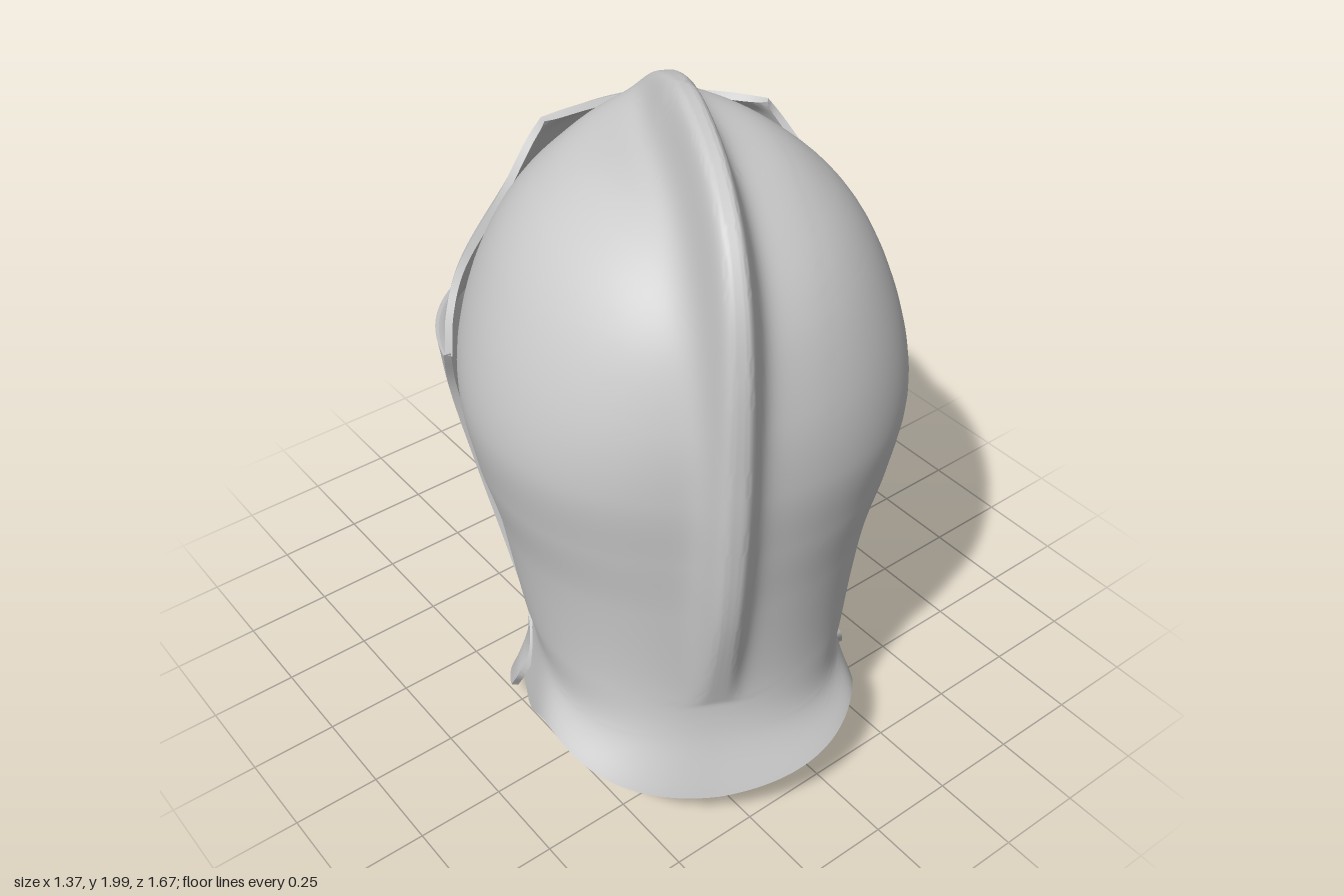
import * as THREE from 'three';
import { mergeVertices, toCreasedNormals } from 'three/addons/utils/BufferGeometryUtils.js';

const steel = new THREE.MeshStandardMaterial({ color: 0xcccccc, side: THREE.DoubleSide });
const V = (x, y, z) => new THREE.Vector3(x, y, z);

// Skin a list of cross-sections (functions of a = -1..1), reshape its points,
// leave out the cells named by skip(a, t, point), and give the sheet a thickness.
function loft(sections, cols, rows, { reshape = (p) => p, skip = () => false, crease = 0.4 } = {}) {
  const thickness = 0.02, pos = [], index = [], pts = [];
  for (let i = 0; i <= cols; i++) {
    const a = -1 + (2 * i) / cols;
    const rail = new THREE.CatmullRomCurve3(sections.map((s) => s(a)));
    for (let j = 0; j <= rows; j++) {
      const p = reshape(rail.getPoint(j / rows));
      pts.push(p);
      pos.push(p.x, p.y, p.z);
    }
  }
  const at = (i, j) => i * (rows + 1) + j;
  for (let i = 0; i < cols; i++) {
    for (let j = 0; j < rows; j++) {
      const a = -1 + (2 * (i + 0.5)) / cols, t = ((j + 0.5) / rows) * (sections.length - 1);
      if (skip(a, t, pts[at(i, j)])) continue;
      index.push(at(i, j), at(i + 1, j), at(i + 1, j + 1), at(i, j), at(i + 1, j + 1), at(i, j + 1));
    }
  }
  let sheet = new THREE.BufferGeometry();
  sheet.setAttribute('position', new THREE.Float32BufferAttribute(pos, 3));
  sheet.setIndex(index);
  sheet = mergeVertices(sheet, 1e-4);

  // drop collapsed triangles
  const raw = sheet.index.array, tri = [];
  for (let k = 0; k < raw.length; k += 3) {
    const [p, q, r] = [raw[k], raw[k + 1], raw[k + 2]];
    if (p !== q && q !== r && r !== p) tri.push(p, q, r);
  }
  sheet.setIndex(tri);
  sheet.computeVertexNormals();

  // inner skin, and walls along every open edge
  const P = sheet.attributes.position, N = sheet.attributes.normal, n = P.count;
  const all = Array.from(P.array), faces = [...tri], edges = new Set();
  for (let k = 0; k < n * 3; k++) all.push(P.array[k] - N.array[k] * thickness);
  for (let k = 0; k < tri.length; k += 3) {
    faces.push(tri[k] + n, tri[k + 2] + n, tri[k + 1] + n);
    for (let e = 0; e < 3; e++) edges.add(tri[k + e] * n + tri[k + ((e + 1) % 3)]);
  }
  for (const key of edges) {
    const p = Math.floor(key / n), q = key % n;
    if (!edges.has(q * n + p)) faces.push(q, p, p + n, q, p + n, q + n);
  }
  const shell = new THREE.BufferGeometry();
  shell.setAttribute('position', new THREE.Float32BufferAttribute(all, 3));
  shell.setIndex(faces);
  return toCreasedNormals(shell, crease);
}

// Mirrored visor section: centre (zf, yf), rear end (w, zr, yr), two side controls
function visorSection([zf, yf, w, zr, yr, x1, z1, x2, z2]) {
  const half = new THREE.CubicBezierCurve3(
    V(0, yf, zf), V(x1, yf, z1), V(x2, yf + (yr - yf) / 3, z2), V(w, yr, zr));
  return (a) => {
    const p = half.getPoint(Math.abs(a));
    if (a < 0) p.x = -p.x;
    return p;
  };
}

// Skull ring: height, back, front and side radius, squareness; a = 0 is the back.
// Columns crowd towards the middle plane, where the crest needs them.
function skullRing([y, back, front, side, n], heightAt = () => y) {
  const pow = (v) => Math.sign(v) * Math.abs(v) ** (2 / n);
  return (a) => {
    const phi = a * Math.PI - 0.4 * Math.sin(2 * Math.PI * a), c = Math.cos(phi);
    return V(-side * pow(Math.sin(phi)), heightAt(phi), -0.25 - (c > 0 ? back : front) * pow(c));
  };
}

// Crest outline from front to nape, as angle and radius about a point in the skull
const hub = { y: 1, z: -0.3 };
const polar = (p) => ({ angle: Math.atan2(p.z - hub.z, p.y - hub.y), r: Math.hypot(p.z - hub.z, p.y - hub.y) });
const crestLine = new THREE.CatmullRomCurve3([[0.18, 1.76], [0.11, 1.83], [0, 1.9], [-0.22, 1.98], [-0.39, 2],
  [-0.62, 1.98], [-0.79, 1.9], [-0.88, 1.78], [-0.925, 1.6], [-0.935, 1.3], [-0.925, 1.1], [-0.89, 0.85],
  [-0.78, 0.46]].map(([z, y]) => V(0, y, z))).getPoints(300).map(polar);

// Pull the middle of the skull out to the crest outline, with a soft fillet
function raiseCrest(p) {
  const { angle, r } = polar(p);
  const k = crestLine.findIndex((c) => c.angle <= angle);
  if (k < 1 || Math.abs(p.x) > 0.25) return p;
  const c0 = crestLine[k - 1], c1 = crestLine[k];
  const R = THREE.MathUtils.mapLinear(angle, c0.angle, c1.angle, c0.r, c1.r);
  const scale = 1 + (Math.max(0, R - r) / r) / (1 + (Math.abs(p.x) / 0.056) ** 4);
  return V(p.x, hub.y + (p.y - hub.y) * scale, hub.z + (p.z - hub.z) * scale);
}

export function createModel() {
  const model = new THREE.Group();
  const helmet = new THREE.Group();
  helmet.name = 'helmet';
  helmet.rotation.y = Math.atan2(0.463, -0.886);
  helmet.position.x = 0.03;
  model.add(helmet);
  const add = (name, geometry) => {
    const mesh = new THREE.Mesh(geometry, steel);
    mesh.name = name;
    helmet.add(mesh);
  };

  // crested skull with flared neck, wavy lower rim and an open face
  const rim = (phi) => {
    const s = Math.abs(Math.sin(phi));
    return 0.17 + 0.13 * s - 0.19 * s ** 24;
  };
  const rings = [
    skullRing([0, 0.595, 0.4, 0.46, 3.1], rim),
    skullRing([0.36, 0.54, 0.4, 0.425, 2.7]),
    ...[
      [0.5, 0.53, 0.4, 0.455, 2.3], [0.8, 0.555, 0.44, 0.505, 2.1], [1.0, 0.58, 0.5, 0.555, 2.1],
      [1.2, 0.6, 0.55, 0.58, 2.15], [1.4, 0.59, 0.58, 0.545, 2.1], [1.6, 0.53, 0.52, 0.46, 2],
      [1.72, 0.43, 0.43, 0.36, 2], [1.8, 0.28, 0.36, 0.23, 2], [1.83, 0, 0, 0, 2],
    ].map((r) => skullRing(r)),
  ];
  const face = (a, t, p) => (p.y < 1.33 && p.z > -0.06) || (p.y < 0.45 && p.z > -0.2);
  add('crestedSkull', loft(rings, 140, 140, { reshape: raiseCrest, skip: face, crease: 1.1 }));

  // upper visor with two eye slots
  const upper = [
    [0.92, 1.012, 0.605, -0.187, 1.238, 0.37, 0.7, 0.665, 0.37],
    [0.63, 1.16, 0.59, -0.06, 1.28, 0.28, 0.55, 0.57, 0.3],
    [0.5, 1.37, 0.55, 0.01, 1.37, 0.24, 0.43, 0.5, 0.25],
    [0.38, 1.57, 0.425, 0.05, 1.56, 0.2, 0.36, 0.37, 0.23],
    [0.28, 1.705, 0.335, 0.11, 1.69, 0.13, 0.27, 0.26, 0.21],
    [0.19, 1.755, 0.3, 0.12, 1.735, 0.1, 0.18, 0.21, 0.15],
  ].map(visorSection);
  const slot = (a, t) => Math.abs(a) > 0.12 && Math.abs(a) < 0.5 && t > 0.58 && t < 0.92;
  add('upperVisor', loft(upper, 100, 60, { skip: slot }));

  // lower visor: keeled at the brow, round and flared at the throat
  const lower = [
    [0.035, 0.01, 0.5, -0.27, 0.1, 0.3, 0.035, 0.51, -0.04],
    [0.025, 0.08, 0.48, -0.31, 0.18, 0.27, 0.025, 0.49, -0.05],
    [0.09, 0.17, 0.445, -0.295, 0.25, 0.25, 0.09, 0.45, 0],
    [0.25, 0.28, 0.435, -0.22, 0.34, 0.22, 0.25, 0.43, 0.08],
    [0.44, 0.43, 0.47, -0.17, 0.5, 0.22, 0.38, 0.45, 0.12],
    [0.635, 0.62, 0.54, -0.135, 0.8, 0.26, 0.49, 0.53, 0.23],
    [0.8, 0.82, 0.6, -0.145, 1.1, 0.33, 0.61, 0.62, 0.32],
    [0.934, 1.01, 0.61, -0.19, 1.24, 0.38, 0.71, 0.68, 0.38],
  ].map(visorSection);
  add('lowerVisor', loft(lower, 80, 56));

  return model;
}
